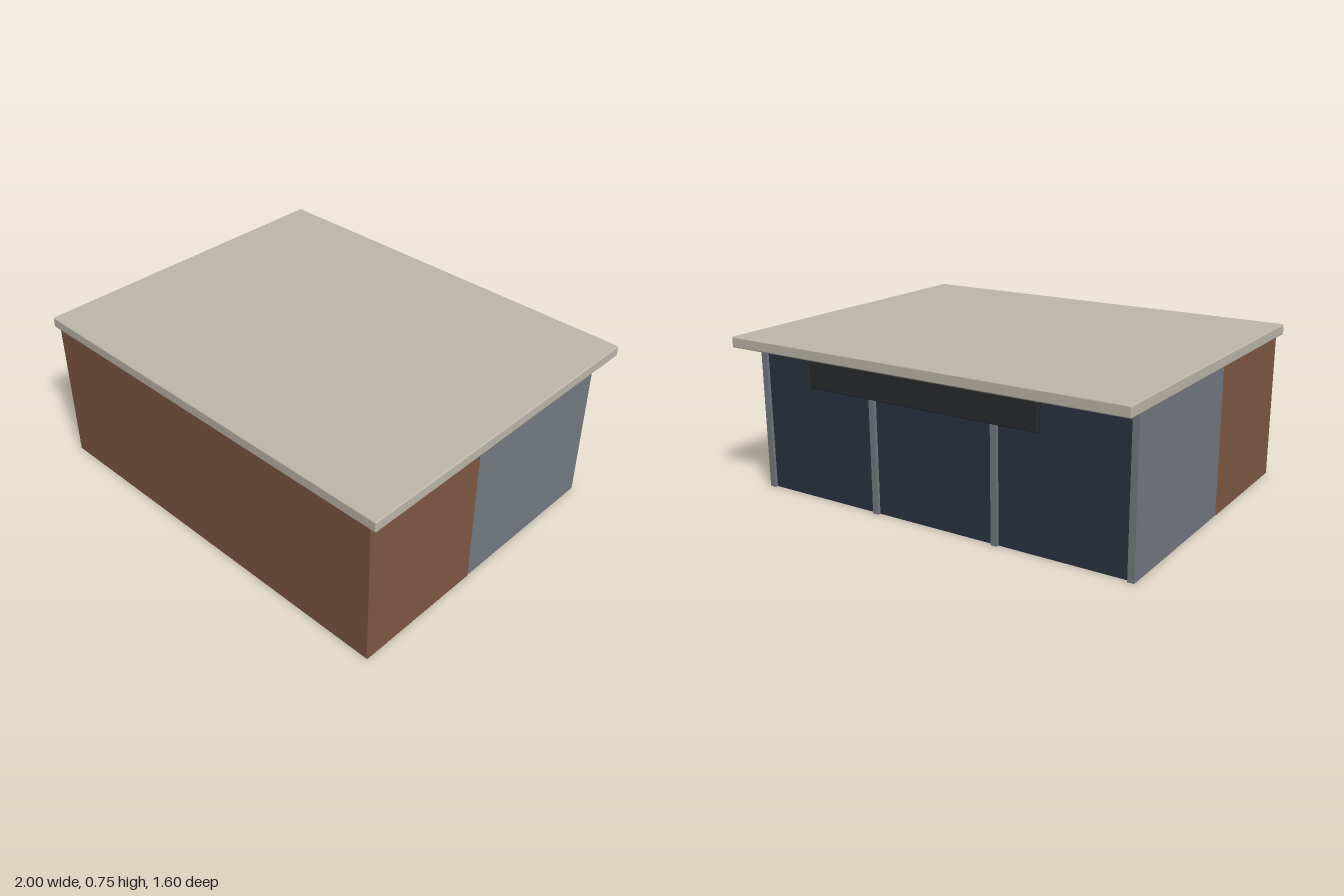
import * as THREE from 'three';
import { RoundedBoxGeometry } from 'three/addons/geometries/RoundedBoxGeometry.js';

const material = (color) => new THREE.MeshStandardMaterial({ color });

// Adds a box given by its [min, max] extents; a bevel softens its edges.
function addBox(parent, name, mat, [x0, x1], [y0, y1], [z0, z1], bevel = 0) {
  const size = [x1 - x0, y1 - y0, z1 - z0];
  const geometry = bevel
    ? new RoundedBoxGeometry(...size, 2, bevel)
    : new THREE.BoxGeometry(...size);
  const mesh = new THREE.Mesh(geometry, mat);
  mesh.name = name;
  mesh.position.set((x0 + x1) / 2, (y0 + y1) / 2, (z0 + z1) / 2);
  parent.add(mesh);
  return mesh;
}

export function createModel() {
  const model = new THREE.Group();
  model.name = 'shopBuilding';

  const brick = material(0x7f5743);
  const roof = material(0xbcb7a9);
  const glass = material(0x2a3340);
  const metal = material(0x747981);
  const dark = material(0x27292c);

  // Closed brick half and the flat overhanging roof
  addBox(model, 'brickBlock', brick, [-0.97, 0.97], [0, 0.705], [0.145, 0.79], 0.005);
  addBox(model, 'roofSlab', roof, [-1, 1], [0.705, 0.755], [-0.8, 0.8], 0.006);

  // Glazed half
  addBox(model, 'glazing', glass, [-0.95, 0.95], [0, 0.695], [-0.645, 0.15]);

  // Metal side panels
  for (const side of [-1, 1]) {
    const xs = [side * 0.948, side * 0.966].sort((a, b) => a - b);
    addBox(model, side > 0 ? 'leftSidePanel' : 'rightSidePanel', metal, xs, [0, 0.698], [-0.645, 0.15]);
  }

  // Upright window posts, evenly spaced along the back
  const posts = new THREE.Group();
  posts.name = 'windowPosts';
  model.add(posts);
  for (let i = 0; i < 4; i++) {
    const x = -0.951 + i * 0.634;
    addBox(posts, 'windowPost', metal, [x - 0.015, x + 0.015], [0, 0.698], [-0.66, -0.64]);
  }

  // Blank sign board under the overhang
  addBox(model, 'signBoard', dark, [-0.58, 0.58], [0.565, 0.69], [-0.752, -0.72], 0.005);

  return model;
}
